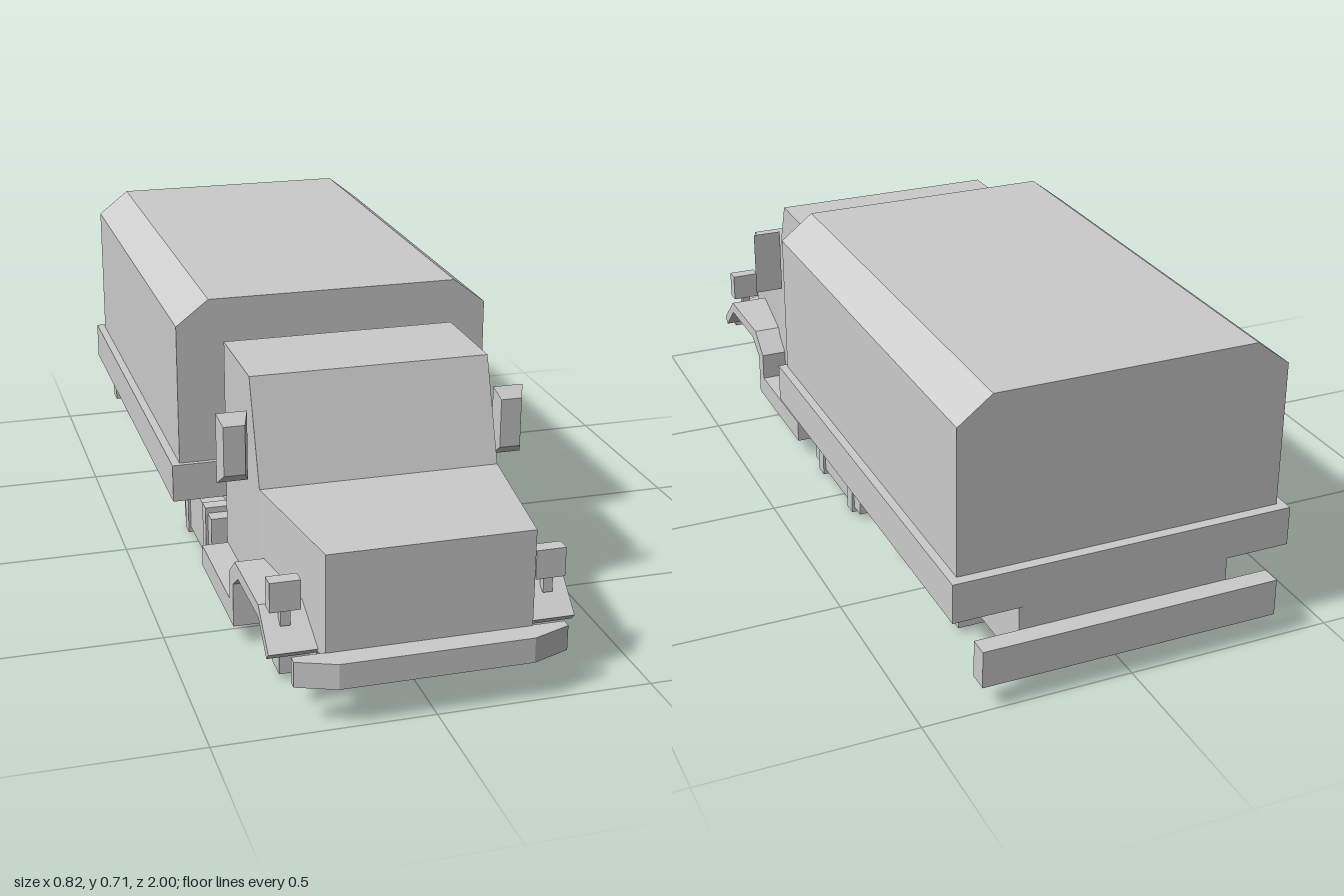
import * as THREE from 'three';

const material = new THREE.MeshStandardMaterial({ color: 0xcccccc, flatShading: true });

export function createModel() {
  const truck = new THREE.Group();
  truck.name = 'truck';

  function add(name, geometry) {
    geometry.computeVertexNormals();
    const mesh = new THREE.Mesh(geometry, material);
    mesh.name = name;
    truck.add(mesh);
    return mesh;
  }

  // Box given by its limits; the front face can be narrowed about its centre
  function box(name, [x0, x1], [y0, y1], [z0, z1], frontX = 1, frontY = 1) {
    let g = new THREE.BoxGeometry(x1 - x0, y1 - y0, z1 - z0);
    const p = g.attributes.position;
    for (let i = 0; i < p.count; i++) {
      if (p.getZ(i) > 0) p.setXY(i, p.getX(i) * frontX, p.getY(i) * frontY);
    }
    g.translate((x0 + x1) / 2, (y0 + y1) / 2, (z0 + z1) / 2);
    return add(name, g);
  }

  const extrude = (points, depth) => new THREE.ExtrudeGeometry(
    new THREE.Shape(points.map(([a, b]) => new THREE.Vector2(a, b))),
    { depth, bevelEnabled: false });

  // Side profile of (z, y) points, extruded from x0 to x1
  function sideProfile(name, points, x0, x1) {
    return add(name, extrude(points, x1 - x0).rotateY(-Math.PI / 2).translate(x1, 0, 0));
  }

  // Chassis: wide rear frame, narrow front frame, riser behind the cab
  box('rearFrame', [-0.255, 0.255], [0.065, 0.22], [-0.953, 0.235]);
  box('frontFrame', [-0.225, 0.225], [0.065, 0.3], [0.235, 0.84]);
  box('bedRiser', [-0.255, 0.255], [0.21, 0.304], [0.19, 0.237]);

  // Load bed and chamfered canvas cover
  box('loadBed', [-0.41, 0.41], [0.21, 0.305], [-0.955, 0.197]);
  const cover = [[-0.39, 0.305], [0.39, 0.305], [0.39, 0.655], [0.31, 0.717], [-0.31, 0.717], [-0.39, 0.655]];
  add('cargoCover', extrude(cover, 1.115).translate(0, 0, -0.93));

  // Cab with sloped windscreen, and tapered hood
  sideProfile('cab', [[0.235, 0.1], [0.577, 0.1], [0.577, 0.385], [0.49, 0.625], [0.235, 0.625]], -0.285, 0.285);
  box('hood', [-0.285, 0.285], [0.14, 0.385], [0.577, 0.945], 0.235 / 0.285);
  box('bumperMount', [-0.235, 0.235], [0.1, 0.15], [0.9, 0.945]);

  // Bumpers, the front one with cut corners
  const bumperPlan = [[-0.31, -0.942], [0.31, -0.942], [0.31, -0.965], [0.22, -1], [-0.22, -1], [-0.31, -0.965]];
  add('frontBumper', extrude(bumperPlan, 0.06).rotateX(-Math.PI / 2).translate(0, 0.096, 0));
  box('rearBumper', [-0.36, 0.36], [0.063, 0.153], [-1, -0.953]);

  // Axle beams
  for (const z of [0.735, -0.342, -0.68]) {
    box('axle', [-0.29, 0.29], [0.017, 0.075], [z - 0.029, z + 0.029]);
  }

  // Fender flowing back into the running board
  const fender = [
    [0.907, 0.147], [0.82, 0.225], [0.6, 0.225], [0.54, 0.175], [0.54, 0.105], [0.242, 0.105],
    [0.242, 0.05], [0.577, 0.05], [0.577, 0.158], [0.63, 0.195], [0.82, 0.195], [0.89, 0.13],
  ];

  for (const s of [1, -1]) {
    const span = (a, b) => (s > 0 ? [a, b] : [-b, -a]);
    const side = s > 0 ? 'left' : 'right';
    sideProfile(side + 'Fender', fender, ...span(0.22, 0.35));

    // Headlight on a short post
    box(side + 'Headlight', span(0.268, 0.338), [0.228, 0.298], [0.837, 0.872]);
    box(side + 'HeadlightPost', span(0.29, 0.312), [0.19, 0.23], [0.845, 0.865]);

    // Wing mirror with bevelled front
    box(side + 'Mirror', span(0.295, 0.368), [0.383, 0.551], [0.508, 0.535], 0.69, 0.71);

    // Side tank and its two straps
    box(side + 'Tank', span(0.235, 0.316), [0.017, 0.15], [-0.14, 0.195]);
    for (const z of [0.138, -0.08]) {
      box(side + 'TankStrap', span(0.23, 0.322), [0.003, 0.165], [z - 0.018, z + 0.018]);
    }
  }
  return truck;
}
